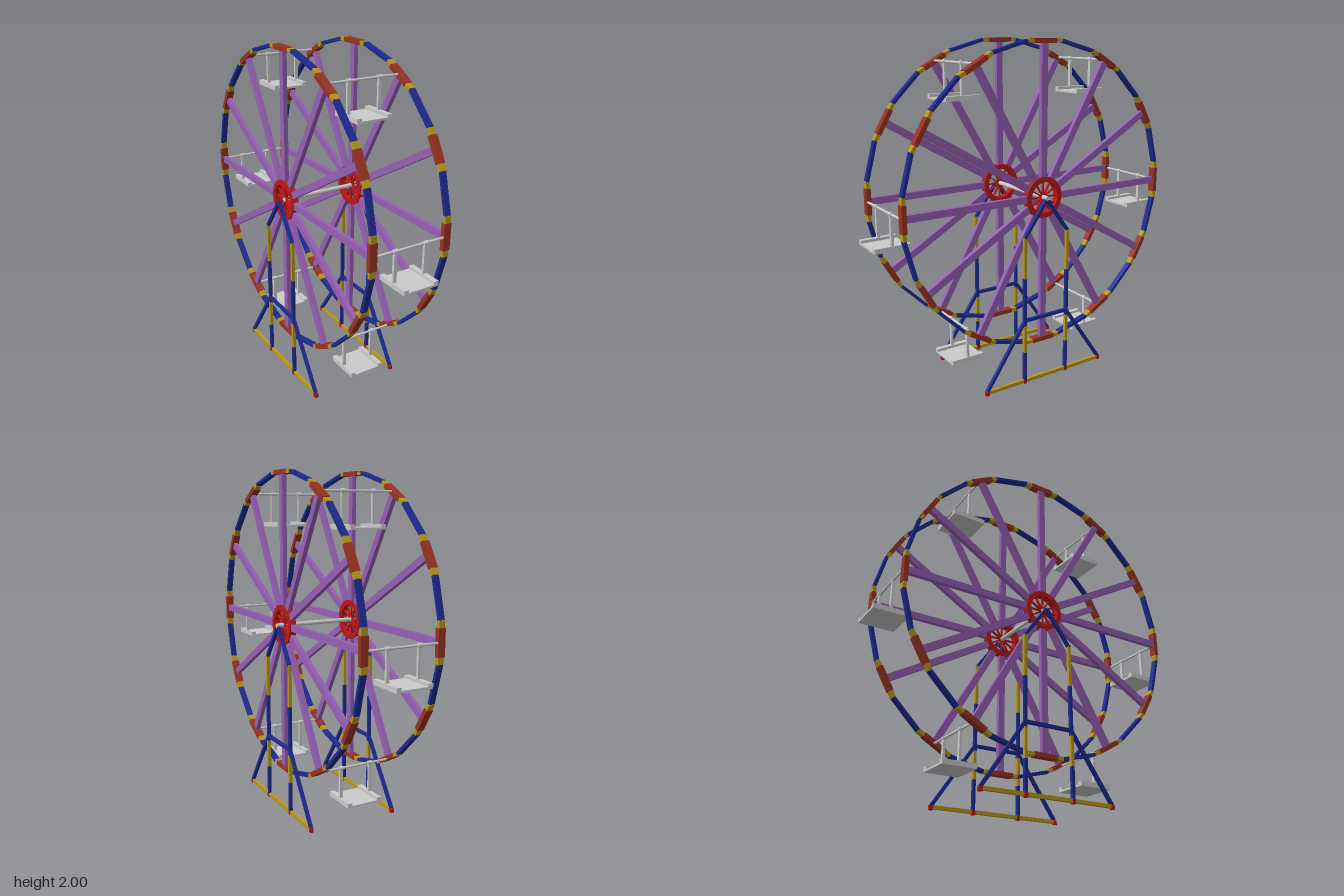
import * as THREE from 'three';
import { toCreasedNormals } from 'three/addons/utils/BufferGeometryUtils.js';

const paint = (color) => new THREE.MeshStandardMaterial({ color });
const BLUE = paint(0x1c2a90), YELLOW = paint(0xb8981c), CLAMP = paint(0x993322);
const RED = paint(0xbb1818), PURPLE = paint(0x9660b4), GREY = paint(0xcccccc);

const HUB_Y = 1.115, RIM = 0.872, WHEEL_X = 0.23;

function add(parent, name, geometry, material, x = 0, y = 0, z = 0) {
  const mesh = new THREE.Mesh(geometry, material);
  mesh.name = name;
  mesh.position.set(x, y, z);
  parent.add(mesh);
  return mesh;
}

// Straight square bar between two [z, y] points in a side-on plane
function bar(parent, name, material, [z0, y0], [z1, y1], width, depth) {
  const length = Math.hypot(z1 - z0, y1 - y0);
  const mesh = add(parent, name, new THREE.BoxGeometry(width, length, depth), material,
    0, (y0 + y1) / 2, (z0 + z1) / 2);
  mesh.rotation.x = Math.atan2(z1 - z0, y1 - y0);
  return mesh;
}

// Round rod running along x
function rod(parent, name, radius, x0, x1, y, z) {
  const geometry = new THREE.CylinderGeometry(radius, radius, x1 - x0, 12).rotateZ(Math.PI / 2);
  return add(parent, name, geometry, GREY, (x0 + x1) / 2, y, z);
}

function makeWheel() {
  const wheel = new THREE.Group();
  wheel.name = 'wheel';
  const half = RIM * Math.tan(Math.PI / 24);
  for (let i = 0; i < 24; i++) {
    // Each sector is built at the top and turned into place
    const sector = new THREE.Group();
    sector.name = 'rimSector';
    sector.rotation.x = i * Math.PI / 12;
    wheel.add(sector);
    if (i % 2) {
      bar(sector, 'rimBar', BLUE, [-half, RIM], [half, RIM], 0.034, 0.018);
      continue;
    }
    bar(sector, 'rimSleeve', YELLOW, [-half, RIM], [half, RIM], 0.036, 0.02);
    bar(sector, 'rimClamp', CLAMP, [-0.076, RIM], [0.076, RIM], 0.044, 0.026);
    bar(sector, 'spoke', PURPLE, [0, 0.11], [0, RIM], 0.026, 0.04);
    bar(sector, 'hubSpoke', RED, [0, 0], [0, 0.1], 0.012, 0.008);
  }
  // Hub ring
  const ring = new THREE.Shape().absarc(0, 0, 0.12, 0, Math.PI * 2);
  ring.holes.push(new THREE.Path().absarc(0, 0, 0.09, 0, Math.PI * 2, true));
  const geometry = new THREE.ExtrudeGeometry(ring, { depth: 0.04, bevelEnabled: false, curveSegments: 32 });
  geometry.translate(0, 0, -0.02).rotateY(Math.PI / 2);
  add(wheel, 'hubRing', toCreasedNormals(geometry, 0.6), RED);
  return wheel;
}

function makeGondola() {
  const gondola = new THREE.Group();
  gondola.name = 'gondola';
  rod(gondola, 'gondolaBar', 0.007, -WHEEL_X, WHEEL_X, 0, 0);
  add(gondola, 'floor', new THREE.BoxGeometry(0.2, 0.012, 0.206), GREY, 0, -0.194, 0);
  for (const side of [-1, 1]) {
    add(gondola, 'floorRail', new THREE.BoxGeometry(0.028, 0.028, 0.206), GREY, side * 0.094, -0.186, 0);
    add(gondola, 'hanger', new THREE.BoxGeometry(0.02, 0.18, 0.014), GREY, side * 0.095, -0.09, 0);
    rod(gondola, 'hangerCollar', 0.012, side * 0.095 - 0.013, side * 0.095 + 0.013, 0, 0);
  }
  return gondola;
}

function makeFrame() {
  const frame = new THREE.Group();
  frame.name = 'supportFrame';
  const T = 0.019;
  bar(frame, 'baseBar', YELLOW, [-0.41, 0.016], [0.41, 0.016], T, 0.02);
  bar(frame, 'crossBar', BLUE, [-0.15, 0.4], [0.15, 0.4], T, 0.018);
  const bands = [[0.01, 0.2, BLUE], [0.2, 0.37, YELLOW], [0.37, 0.66, BLUE], [0.66, 0.91, YELLOW]];
  for (const s of [-1, 1]) {
    for (const [low, high, colour] of bands) {
      bar(frame, 'postSection', colour, [s * 0.15, low], [s * 0.15, high], T, 0.018);
    }
    bar(frame, 'apexStrut', BLUE, [s * 0.152, 0.903], [0, 1.11], T, 0.018);
    bar(frame, 'sideStrut', BLUE, [s * 0.15, 0.4], [s * 0.41, 0.025], T, 0.018);
    for (const z of [0.15, 0.412]) {
      add(frame, 'foot', new THREE.BoxGeometry(0.02, 0.025, 0.022), RED, 0, 0.0125, s * z);
    }
  }
  return frame;
}

export function createModel() {
  const model = new THREE.Group();
  model.name = 'ferrisWheel';

  // Twin wheels on a common axle
  for (const side of [-1, 1]) {
    const wheel = makeWheel();
    wheel.position.set(side * WHEEL_X, HUB_Y, 0);
    model.add(wheel);
  }
  rod(model, 'axle', 0.013, -0.24, 0.28, HUB_Y, 0);

  // Six gondolas hang level from every second spoke
  for (let i = 0; i < 6; i++) {
    const angle = i * Math.PI / 3;
    const gondola = makeGondola();
    gondola.position.set(0, HUB_Y + Math.sin(angle) * 0.878, Math.cos(angle) * 0.878);
    model.add(gondola);
  }

  // Outer support frames
  for (const x of [-0.273, 0.27]) {
    const frame = makeFrame();
    frame.position.x = x;
    model.add(frame);
  }
  return model;
}
